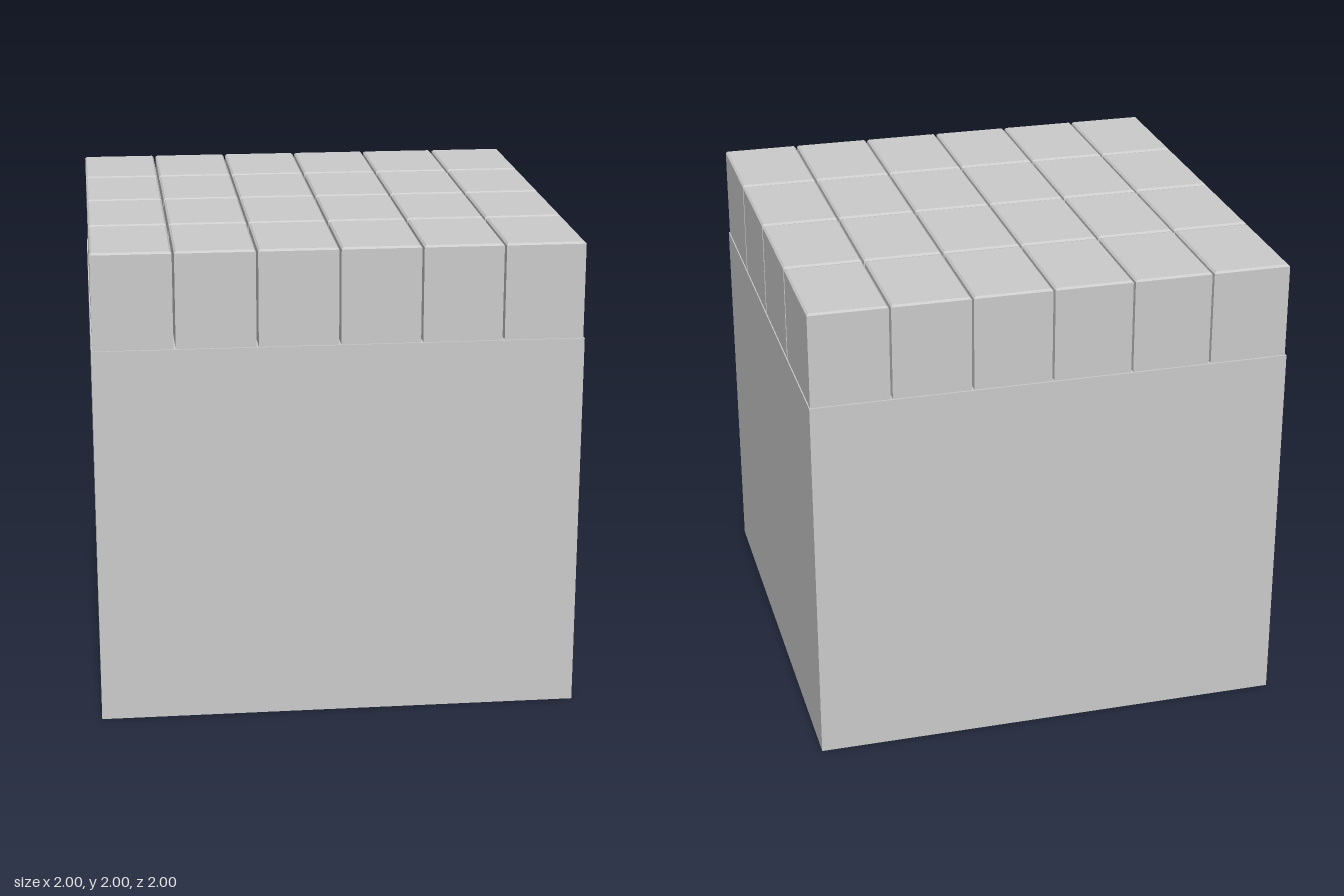
import * as THREE from 'three';

const COLS = 6, ROWS = 4;
const BASE_H = 1.6, BLOCK_H = 0.4;
const GAP_X = 0.009, GAP_Z = 0.016, BEVEL = 0.008;

// Box whose upper edges are chamfered
function chamferedBlock(w, h, d) {
  const g = new THREE.BoxGeometry(w, h, d, 1, 2, 1);
  const p = g.attributes.position;
  for (let i = 0; i < p.count; i++) {
    const y = p.getY(i);
    if (y > h / 4) {
      p.setX(i, p.getX(i) - Math.sign(p.getX(i)) * BEVEL);
      p.setZ(i, p.getZ(i) - Math.sign(p.getZ(i)) * BEVEL);
    } else if (y > -h / 4) {
      p.setY(i, h / 2 - BEVEL);
    }
  }
  const flat = g.toNonIndexed();
  flat.computeVertexNormals();
  return flat;
}

export function createModel() {
  const model = new THREE.Group();
  model.name = 'blockToppedCube';
  const material = new THREE.MeshStandardMaterial({ color: 0xcccccc, flatShading: true });

  // Solid base
  const base = new THREE.Mesh(new THREE.BoxGeometry(2, BASE_H, 2), material);
  base.name = 'base';
  base.position.y = BASE_H / 2;
  model.add(base);

  // Grid of separate blocks on top
  const blocks = new THREE.Group();
  blocks.name = 'topBlocks';
  const pitchX = 2 / COLS, pitchZ = 2 / ROWS;
  const geometry = chamferedBlock(pitchX - GAP_X, BLOCK_H, pitchZ - GAP_Z);
  for (let r = 0; r < ROWS; r++) {
    for (let c = 0; c < COLS; c++) {
      const block = new THREE.Mesh(geometry, material);
      block.name = `block_${r + 1}_${c + 1}`;
      block.position.set(-1 + (c + 0.5) * pitchX, BASE_H + BLOCK_H / 2, -1 + (r + 0.5) * pitchZ);
      blocks.add(block);
    }
  }
  model.add(blocks);
  return model;
}
